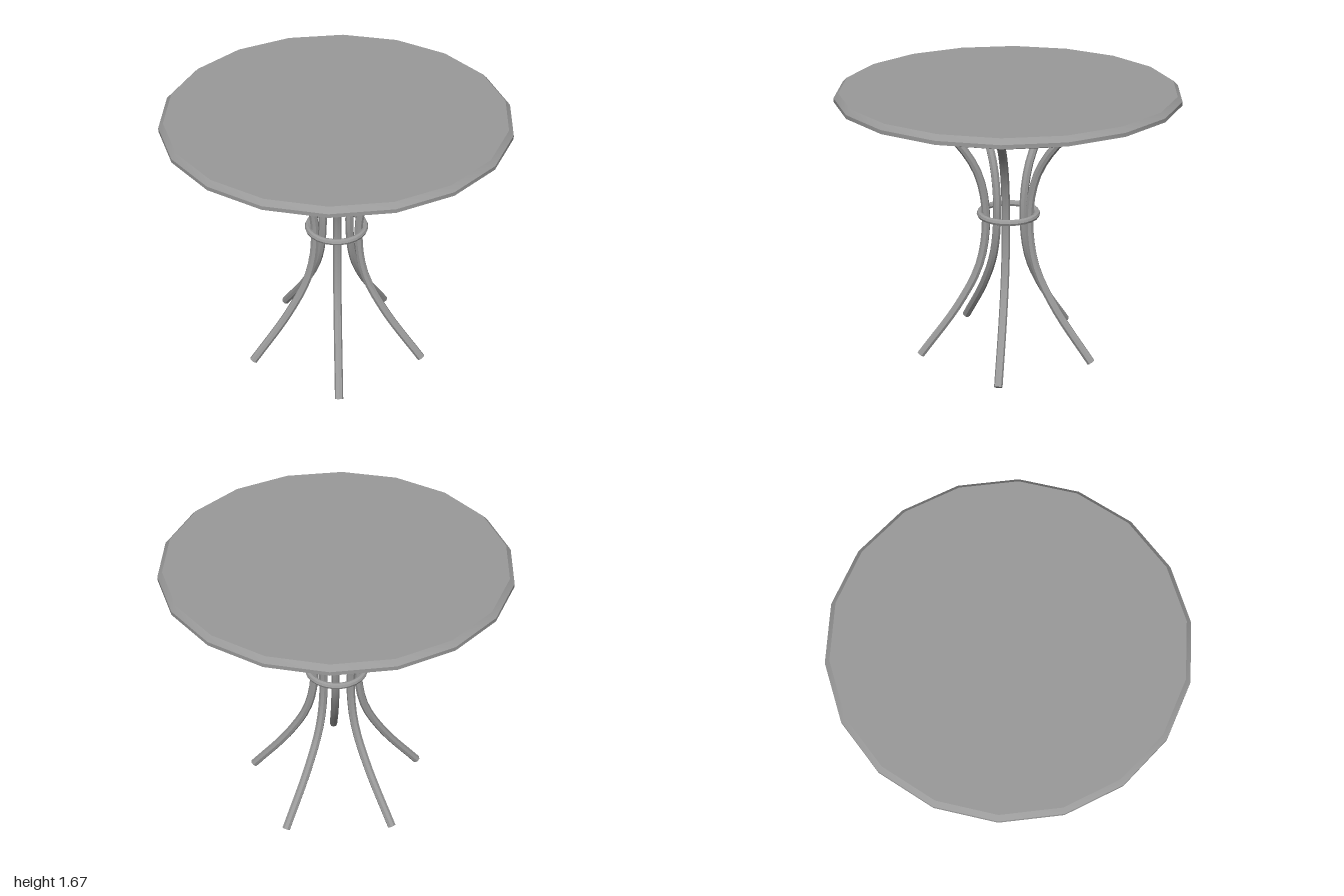
import * as THREE from 'three';
import { toCreasedNormals } from 'three/addons/utils/BufferGeometryUtils.js';

const material = new THREE.MeshStandardMaterial({ color: 0x9a9a9a });
const SIDES = 18;
const LEGS = 5;

// Smooth around the discs, sharp at the bevels and rod facets
function addMesh(parent, name, geometry) {
  const mesh = new THREE.Mesh(toCreasedNormals(geometry, 0.6), material);
  mesh.name = name;
  parent.add(mesh);
  return mesh;
}

// Disc turned from [radius, height] points, listed bottom to top
function disc(points) {
  const profile = points.map(([r, y]) => new THREE.Vector2(r, y));
  return new THREE.LatheGeometry(profile, SIDES, Math.PI / 2);
}

// One bent rod along +x, closed at both ends
function createLeg() {
  const leg = new THREE.Group();
  const radius = 0.025;
  const path = new THREE.CatmullRomCurve3([
    [0.545, 0.018], [0.305, 0.335], [0.175, 0.59], [0.136, 0.89],
    [0.18, 1.15], [0.29, 1.34], [0.4, 1.445], [0.54, 1.54],
  ].map(([x, y]) => new THREE.Vector3(x, y, 0)));
  addMesh(leg, 'legRod', new THREE.TubeGeometry(path, 24, radius, 8));
  for (const [t, sign] of [[0, -1], [1, 1]]) {
    const cap = addMesh(leg, 'legCap', new THREE.CircleGeometry(radius, 8));
    const outward = path.getTangentAt(t).multiplyScalar(sign);
    cap.position.copy(path.getPointAt(t));
    cap.quaternion.setFromUnitVectors(new THREE.Vector3(0, 0, 1), outward);
  }
  return leg;
}

export function createModel() {
  const table = new THREE.Group();
  table.name = 'roundTable';

  // Top with a bevelled upper rim
  addMesh(table, 'tableTop', disc([[0, 1.62], [1, 1.62], [1, 1.642], [0.972, 1.67], [0, 1.67]]));

  // Smaller plate below, bevelled at its lower rim
  addMesh(table, 'underPlate', disc([[0, 1.53], [0.73, 1.53], [0.765, 1.567], [0.765, 1.62]]));

  // Five legs spread evenly, the first pointing to -x
  for (let i = 0; i < LEGS; i++) {
    const leg = createLeg();
    leg.name = `leg${i + 1}`;
    leg.rotation.y = Math.PI + (i * 2 * Math.PI) / LEGS;
    table.add(leg);
  }

  // Ring binding the legs at the waist
  const ring = addMesh(table, 'waistRing', new THREE.TorusGeometry(0.17, 0.019, 8, 24));
  ring.rotation.x = Math.PI / 2;
  ring.position.y = 0.897;

  return table;
}
